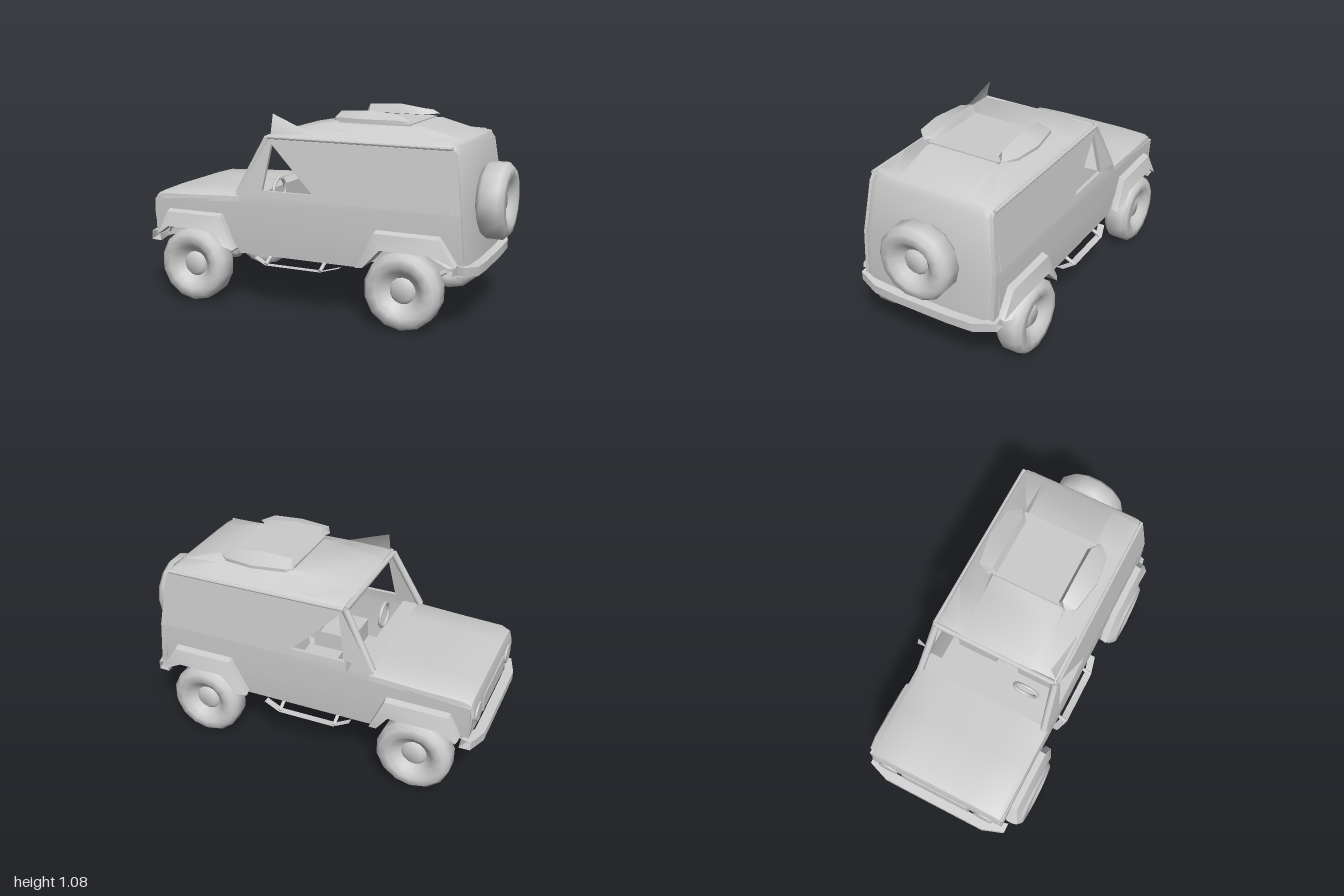
import * as THREE from 'three';
import { toCreasedNormals } from 'three/addons/utils/BufferGeometryUtils.js';

const material = new THREE.MeshStandardMaterial({ color: 0xcccccc, side: THREE.DoubleSide });

export function createModel() {
  const car = new THREE.Group();
  car.name = 'offRoadCar';

  const add = (name, geo, x = 0, y = 0, z = 0, crease = 0.8) => {
    const mesh = new THREE.Mesh(toCreasedNormals(geo, crease), material);
    mesh.name = name;
    mesh.position.set(x, y, z);
    car.add(mesh);
    return mesh;
  };
  const box = (name, x, y, z, w, h, d) => add(name, new THREE.BoxGeometry(w, h, d), x, y, z);

  // Skin stretched over rows of points, all rows the same length
  const loft = (name, rows) => {
    const n = rows[0].length, index = [];
    for (let i = 0; i < rows.length - 1; i++) {
      for (let j = 0; j < n - 1; j++) {
        const a = i * n + j, b = a + n;
        index.push(a, b, a + 1, b, b + 1, a + 1);
      }
    }
    const geo = new THREE.BufferGeometry();
    geo.setAttribute('position', new THREE.Float32BufferAttribute(rows.flat(2), 3));
    geo.setIndex(index);
    geo.computeVertexNormals();
    return add(name, geo);
  };

  // Straight round bar between two points
  const bar = (name, from, to, r) => {
    const a = new THREE.Vector3(...from), b = new THREE.Vector3(...to);
    const mesh = add(name, new THREE.CylinderGeometry(r, r, a.distanceTo(b), 8));
    mesh.position.copy(a).lerp(b, 0.5);
    mesh.quaternion.setFromUnitVectors(new THREE.Vector3(0, 1, 0), b.sub(a).normalize());
  };

  // Thin side panel in x/y whose z follows a rule on y
  const panel = (name, points, hole, zAt) => {
    const shape = new THREE.Shape(points.map(p => new THREE.Vector2(...p)));
    if (hole) shape.holes.push(new THREE.Path(hole.map(p => new THREE.Vector2(...p))));
    const geo = new THREE.ExtrudeGeometry(shape, { depth: 0.02, bevelEnabled: false });
    const pos = geo.attributes.position;
    for (let i = 0; i < pos.count; i++) pos.setZ(i, zAt(pos.getY(i)) - 0.02 + pos.getZ(i));
    geo.computeVertexNormals();
    return add(name, geo);
  };

  // Body sides, with arches below and a three-cornered open window above
  const lowerSide = [[-0.94, 0.34], [-0.94, 0.55], [-0.42, 0.59], [-0.4, 0.61], [0.84, 0.61], [0.86, 0.36],
    [0.78, 0.36], [0.72, 0.46], [0.42, 0.46], [0.31, 0.29], [-0.4, 0.29], [-0.5, 0.45], [-0.82, 0.45], [-0.86, 0.36]];
  const upperSide = [[-0.42, 0.61], [-0.25, 0.93], [0.78, 0.93], [0.8, 0.9], [0.84, 0.61]];
  const sideWindow = [[-0.26, 0.645], [0.04, 0.645], [-0.215, 0.895]];
  // Flare rows: along the body and along the lip
  const flares = {
    frontFlare: [[[-0.9, 0.38], [-0.84, 0.5], [-0.5, 0.5], [-0.42, 0.32]], [[-0.89, 0.36], [-0.82, 0.41], [-0.53, 0.41], [-0.47, 0.33]]],
    rearFlare: [[[0.3, 0.31], [0.4, 0.5], [0.74, 0.5], [0.83, 0.37]], [[0.35, 0.31], [0.44, 0.41], [0.7, 0.41], [0.8, 0.36]]],
  };
  for (const s of [1, -1]) {
    const lower = panel('lowerSide', lowerSide, null, y => 0.405 - Math.abs(y - 0.5) * 0.08);
    const upper = panel('upperSide', upperSide, sideWindow, y => 0.396 - (y - 0.61) * 0.12);
    lower.scale.z = upper.scale.z = s;
    for (const [name, [body, lip]] of Object.entries(flares)) {
      loft(name, [
        body.map(([x, y]) => [x, y, s * 0.4]),
        body.map(([x, y]) => [x, y - 0.012, s * 0.435]),
        lip.map(([x, y]) => [x, y, s * 0.46]),
        lip.map(([x, y]) => [x, y, s * 0.31]),
      ]);
    }
  }

  // Bonnet and nose
  const hoodRow = (x, top, edge, w) => [[x, edge - 0.03, -w], [x, edge, -w + 0.005], [x, top - 0.006, -w + 0.035],
    [x, top, -0.2], [x, top, 0.2], [x, top - 0.006, w - 0.035], [x, edge, w - 0.005], [x, edge - 0.03, w]];
  loft('bonnet', [
    hoodRow(-0.94, 0.35, 0.35, 0.38), hoodRow(-0.955, 0.53, 0.51, 0.385), hoodRow(-0.94, 0.58, 0.56, 0.39),
    hoodRow(-0.89, 0.602, 0.58, 0.397), hoodRow(-0.65, 0.614, 0.59, 0.4), hoodRow(-0.4, 0.625, 0.605, 0.402),
  ]);
  box('engineBay', -0.67, 0.44, 0, 0.52, 0.24, 0.6);
  box('grille', -0.95, 0.46, 0, 0.02, 0.1, 0.4);
  for (const s of [1, -1]) {
    const lamp = add('headlamp', new THREE.CylinderGeometry(0.055, 0.06, 0.02, 10), -0.952, 0.47, s * 0.29);
    lamp.rotation.z = Math.PI / 2;
  }

  // Roof: broad shoulders with a raised middle
  const roofRow = (x, edge, shoulder, top) => [[x, edge, -0.358], [x, shoulder, -0.335],
    [x, shoulder + (top - shoulder) * 0.3, -0.225], [x, top, -0.195], [x, top, 0.195],
    [x, shoulder + (top - shoulder) * 0.3, 0.225], [x, shoulder, 0.335], [x, edge, 0.358]];
  loft('roof', [
    roofRow(-0.25, 0.925, 0.93, 0.935), roofRow(-0.2, 0.93, 0.948, 0.958), roofRow(0, 0.93, 0.955, 0.995),
    roofRow(0.2, 0.93, 0.955, 1.014), roofRow(0.55, 0.93, 0.955, 1.014), roofRow(0.75, 0.93, 0.95, 0.96),
    roofRow(0.79, 0.915, 0.93, 0.935),
  ]);

  // Rear wall with rounded corners
  const rearRow = (x, y, w) => [[x - 0.05, y, -w], [x - 0.012, y, -w + 0.015], [x, y, -w + 0.05],
    [x, y, w - 0.05], [x - 0.012, y, w - 0.015], [x - 0.05, y, w]];
  loft('rearWall', [rearRow(0.785, 0.94, 0.345), rearRow(0.81, 0.9, 0.36), rearRow(0.845, 0.62, 0.396),
    rearRow(0.865, 0.4, 0.4), rearRow(0.87, 0.29, 0.37)]);

  // Windscreen frame
  bar('windscreenHeader', [-0.245, 0.925, -0.34], [-0.245, 0.925, 0.34], 0.016);
  for (const s of [1, -1]) bar('windscreenPillar', [-0.41, 0.62, s * 0.375], [-0.245, 0.925, s * 0.345], 0.02);

  // Cabin
  box('cabinFloor', -0.05, 0.305, 0, 0.72, 0.04, 0.76);
  box('rearFloor', 0.57, 0.36, 0, 0.56, 0.1, 0.62);
  box('dashboard', -0.36, 0.55, 0, 0.1, 0.13, 0.74);
  for (const s of [1, -1]) {
    box('seatCushion', 0, 0.42, s * 0.19, 0.24, 0.12, 0.24);
    const back = box('seatBack', 0.13, 0.57, s * 0.19, 0.07, 0.28, 0.24);
    back.rotation.z = -0.15;
  }
  box('rearBench', 0.45, 0.47, 0, 0.24, 0.12, 0.58);
  const wheelRim = add('steeringWheel', new THREE.TorusGeometry(0.07, 0.01, 6, 14), -0.26, 0.61, 0.19);
  wheelRim.rotation.y = Math.PI / 2;

  // Wheels and spare share one rounded tyre with a dished centre
  const profile = [[0, -0.04], [0.09, -0.045], [0.135, -0.076], [0.178, -0.072], [0.203, -0.045],
    [0.203, 0.045], [0.178, 0.072], [0.135, 0.076], [0.105, 0.05], [0.07, 0.022], [0.05, 0.04], [0, 0.035]];
  const tyre = new THREE.LatheGeometry(profile.map(p => new THREE.Vector2(...p)), 14);
  for (const x of [-0.67, 0.555]) {
    // Axle with its differential
    bar('axle', [x, 0.205, -0.36], [x, 0.205, 0.36], 0.024);
    add('differential', new THREE.SphereGeometry(0.068, 8, 6), x, 0.2, 0);
    for (const s of [1, -1]) {
      add('wheel', tyre, x, 0.204, s * 0.398, 1.1).rotation.x = s * Math.PI / 2;
      bar('wheelHub', [x, 0.2, s * 0.26], [x, 0.2, s * 0.34], 0.05);
      bar('damper', [x + 0.05, 0.19, s * 0.28], [x + 0.05, 0.36, s * 0.23], 0.022);
      // Springs sweep up to the frame fore and aft
      for (const d of [-0.17, 0.17]) bar('leafSpring', [x, 0.18, s * 0.27], [x + d, 0.28, s * 0.24], 0.014);
    }
  }
  add('spareWheel', tyre, 0.917, 0.62, -0.008, 1.1).rotation.z = -Math.PI / 2;
  bar('spareMount', [0.83, 0.62, -0.008], [0.9, 0.62, -0.008], 0.05);

  // Underside
  for (const s of [1, -1]) {
    box('frameRail', -0.04, 0.295, s * 0.2, 1.7, 0.04, 0.05);
    const step = [[-0.3, 0.278, 0.415], [-0.22, 0.25, 0.44], [0.1, 0.25, 0.44], [0.2, 0.275, 0.415]];
    loft('sideStep', [0, -0.04].map(dz => step.map(([x, y, z]) => [x, y, s * (z + dz)])));
    for (const x of [-0.22, 0.1]) bar('stepBracket', [x, 0.253, s * 0.43], [x, 0.29, s * 0.36], 0.01);
  }
  box('gearbox', -0.1, 0.28, 0, 0.4, 0.05, 0.2);
  for (const [x, end] of [[-0.67, -0.3], [0.555, 0.1]]) bar('driveShaft', [x, 0.22, 0], [end, 0.275, 0], 0.016);

  // Bumpers, swept in and up at the ends
  const bumper = (name, x, dir, y, lift) => {
    const stations = [[-0.415, -0.04, lift], [-0.3, 0, lift / 3], [-0.15, 0, 0], [0.15, 0, 0], [0.3, 0, lift / 3], [0.415, -0.04, lift]];
    const ring = [[0, -0.028], [0, 0.02], [-0.05, 0.03], [-0.06, -0.03], [0, -0.028]];
    loft(name, stations.map(([z, back, up]) => ring.map(([dx, dy]) => [x + dir * (dx + back), y + dy + up, z])));
  };
  bumper('frontBumper', -1, -1, 0.33, 0.01);
  bumper('rearBumper', 0.908, 1, 0.31, 0.03);

  // Roof hatch, with wedge-shaped lamps either side
  box('roofHatch', 0.31, 1.014, 0, 0.4, 0.012, 0.42);
  for (const s of [1, -1]) {
    const lampRow = (x, peak, outer) => [[x, 1.025, s * 0.18], [x, peak, s * 0.2], [x, 1.045, s * outer], [x, 1.028, s * outer], [x, 1.025, s * 0.18]];
    const tip = x => Array(5).fill([x, 1.03, s * 0.23]);
    loft('roofLamp', [tip(0.09), lampRow(0.12, 1.07, 0.28), lampRow(0.3, 1.078, 0.31), lampRow(0.46, 1.055, 0.29), tip(0.52)]);
    bar('roofGutter', [-0.24, 0.93, s * 0.357], [0.78, 0.93, s * 0.357], 0.01);
  }
  // Corner deflector and door mirror
  loft('roofDeflector', [[[-0.23, 0.94, 0.34], [-0.23, 1.05, 0.31]], [[0.02, 0.95, 0.34], [0.02, 0.955, 0.335]]]);
  loft('doorMirror', [[[-0.3, 0.64, -0.395], [-0.3, 0.645, -0.39]], [[-0.3, 0.63, -0.46], [-0.29, 0.7, -0.45]]]);
  return car;
}
